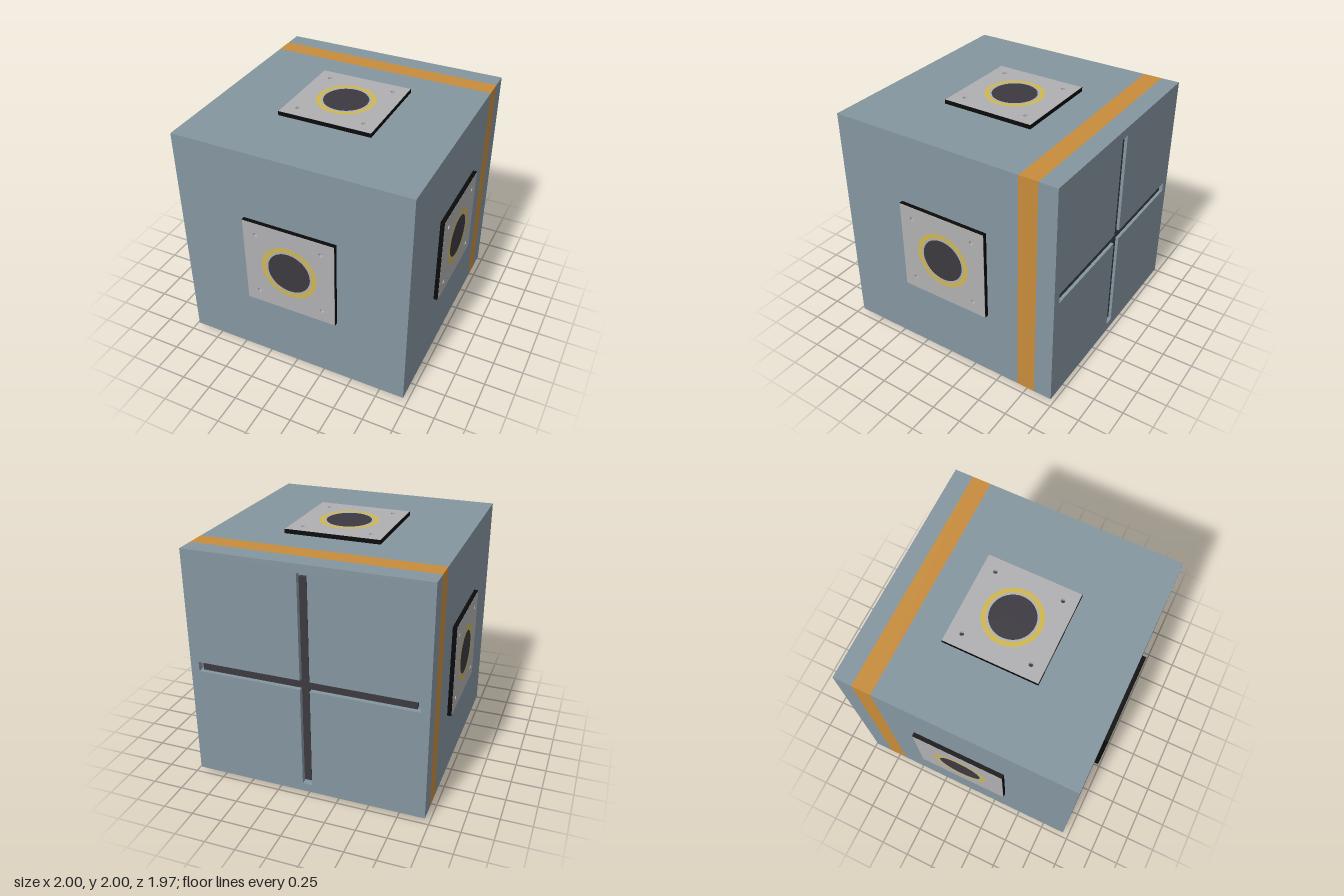
import * as THREE from 'three';

const mat = (name, color) => {
  const m = new THREE.MeshStandardMaterial({ color });
  m.name = name;
  return m;
};

const H = 0.965;      // half size of the cube
const PLATE = 0.387;  // half size of a port plate
const THICK = 0.035;  // plate thickness
const GROOVE = 0.05;  // depth of the cross groove

export function createModel() {
  const blueGrey = mat('bluegrey', 0x8596a0);
  const orange = mat('orange', 0xc88c3c);
  const lightGrey = mat('light grey', 0xb0b0b2);
  const charcoal = mat('charcoal', 0x3c3a40);
  const yellow = mat('yellow', 0xd0b74e);
  const black = mat('black', 0x0a0a0a);

  const model = new THREE.Group();
  model.name = 'cube';
  const body = new THREE.Group();
  body.name = 'body';
  body.position.set(0, 1, -0.0175);
  model.add(body);

  const add = (parent, name, geometry, material, x = 0, y = 0, z = 0) => {
    const mesh = new THREE.Mesh(geometry, material);
    mesh.name = name;
    mesh.position.set(x, y, z);
    parent.add(mesh);
    return mesh;
  };

  // Open square sleeve running along z
  const sleeve = (half, z0, z1) => {
    const g = new THREE.CylinderGeometry(half * Math.SQRT2, half * Math.SQRT2, z1 - z0, 4, 1, true, Math.PI / 4)
      .rotateX(Math.PI / 2).translate(0, 0, (z0 + z1) / 2).toNonIndexed();
    g.computeVertexNormals();
    return g;
  };

  const square = (h) => new THREE.Shape([
    new THREE.Vector2(-h, -h), new THREE.Vector2(h, -h),
    new THREE.Vector2(h, h), new THREE.Vector2(-h, h),
  ]);

  // Cube walls with a flush stripe around four sides
  const s0 = -0.8125, s1 = -0.6575;
  add(body, 'frontWalls', sleeve(H, s1, H), blueGrey);
  add(body, 'stripe', sleeve(H, s0, s1), orange);
  add(body, 'rearWalls', sleeve(H, -H + GROOVE, s0), blueGrey);
  add(body, 'frontFace', new THREE.PlaneGeometry(2 * H, 2 * H), blueGrey, 0, 0, H);

  // Rear panel with a cross-shaped groove
  const w = 0.04, L = 0.895;
  const back = square(H);
  back.holes.push(new THREE.Path([
    [-w, -L], [w, -L], [w, -w], [L, -w], [L, w], [w, w],
    [w, L], [-w, L], [-w, w], [-L, w], [-L, -w], [-w, -w],
  ].map(([x, y]) => new THREE.Vector2(x, y))));
  add(body, 'rearPanel', new THREE.ExtrudeGeometry(back, { depth: GROOVE, bevelEnabled: false }),
    blueGrey, 0, 0, -H);
  add(body, 'grooveFloor', new THREE.PlaneGeometry(2 * H, 2 * H), blueGrey, 0, 0, -H + GROOVE)
    .rotation.y = Math.PI;

  // Dark rails lying in the groove
  const railZ = -H + GROOVE - 0.015;
  add(body, 'verticalRail', new THREE.BoxGeometry(0.06, 1.73, 0.03), charcoal, 0, 0, railZ);
  for (const side of [-1, 1]) {
    add(body, 'horizontalRail', new THREE.BoxGeometry(0.835, 0.06, 0.03), charcoal, side * 0.4475, 0, railZ);
  }

  // Port plate, facing +z before it is turned to its side
  const plateShape = square(PLATE - 0.003);
  const bolts = [[-1, -1], [1, -1], [1, 1], [-1, 1]].map(([x, y]) => [x * 0.277, y * 0.277]);
  for (const [x, y] of bolts) {
    plateShape.holes.push(new THREE.Path().absarc(x, y, 0.018, 0, Math.PI * 2, true));
  }
  const plateGeo = new THREE.ExtrudeGeometry(plateShape, { depth: THICK, bevelEnabled: false, curveSegments: 8 });
  const edgeGeo = sleeve(PLATE, 0, THICK);
  const ringGeo = new THREE.RingGeometry(0.198, 0.235, 48);
  const discGeo = new THREE.CircleGeometry(0.18, 48);
  const boltGeo = new THREE.CircleGeometry(0.018, 16);

  const port = (name, rx, ry) => {
    const pivot = new THREE.Group();
    pivot.name = name;
    pivot.rotation.set(rx, ry, 0);
    body.add(pivot);
    add(pivot, 'plate', plateGeo, lightGrey, 0, 0, H);
    add(pivot, 'plateEdge', edgeGeo, black, 0, 0, H);
    add(pivot, 'ring', ringGeo, yellow, 0, 0, H + THICK + 0.0015);
    add(pivot, 'opening', discGeo, charcoal, 0, 0, H + THICK + 0.0015);
    for (const [x, y] of bolts) add(pivot, 'boltHole', boltGeo, charcoal, x, y, H + 0.005);
  };

  port('frontPort', 0, 0);
  port('leftPort', 0, Math.PI / 2);
  port('rightPort', 0, -Math.PI / 2);
  port('topPort', -Math.PI / 2, 0);
  port('bottomPort', Math.PI / 2, 0);

  return model;
}
